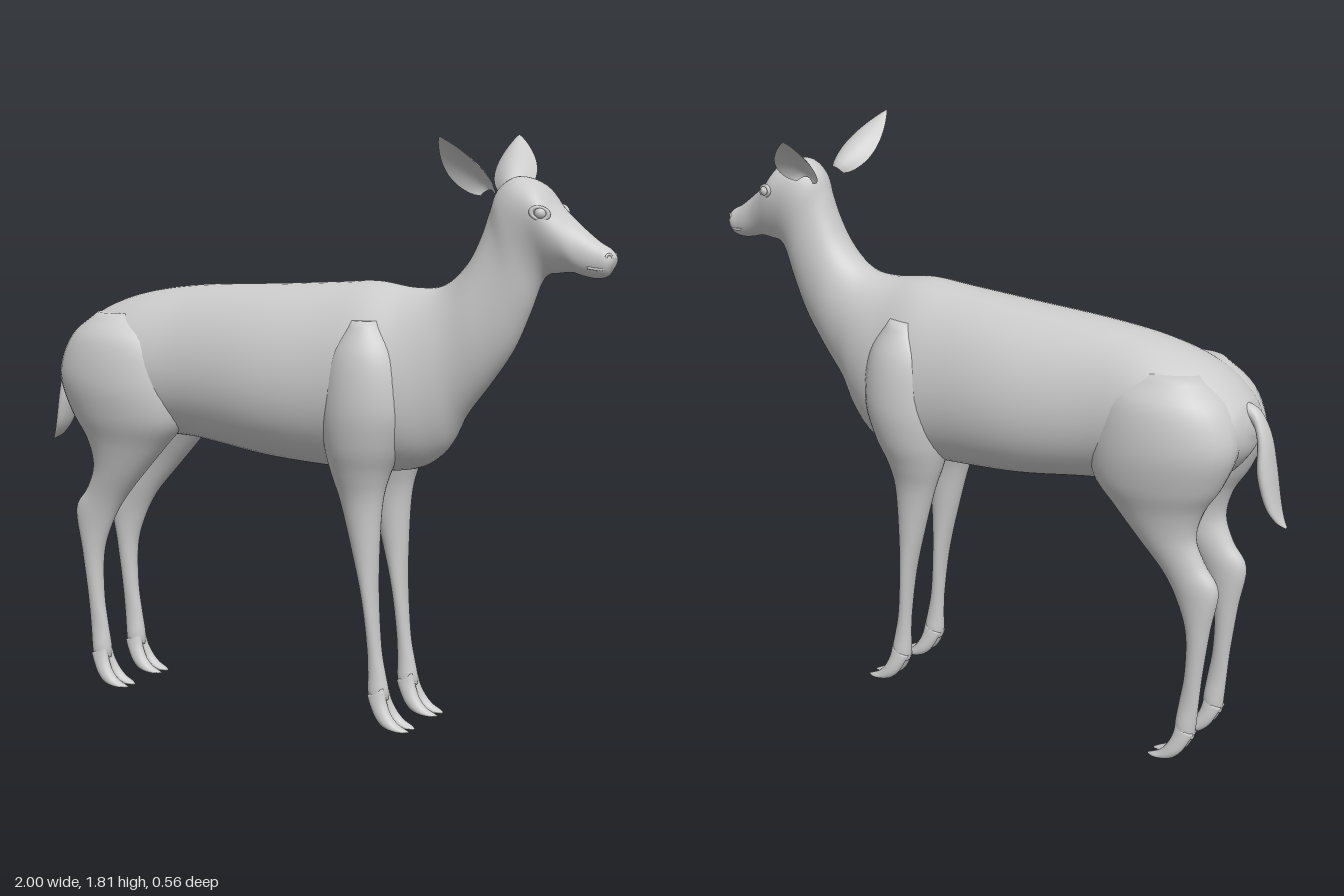
import * as THREE from 'three';

const grey = new THREE.MeshStandardMaterial({ color: 0xcccccc, roughness: 0.8 });
const greyThin = new THREE.MeshStandardMaterial({ color: 0xcccccc, roughness: 0.8, side: THREE.DoubleSide });

// Smooth closed loft. Station: [ax, ay, bx, by, centreZ, halfWidth, topHeavy]
// a and b are opposite edges of an oval section in the side plane.
function loft(stations, side = 1, steps = 5, around = 32) {
  const curve = (f) => new THREE.CatmullRomCurve3(stations.map((s) => new THREE.Vector3(...f(s))), false, 'catmullrom', 0.5);
  const edgeA = curve((s) => [s[0], s[1], s[5]]);
  const edgeB = curve((s) => [s[2], s[3], s[4]]);
  const heavy = curve((s) => [s[6] || 0, 0, 0]);
  const rings = (stations.length - 1) * steps;
  const pos = [], index = [], ends = [];
  for (let i = 0; i <= rings; i++) {
    const a = edgeA.getPoint(i / rings), b = edgeB.getPoint(i / rings), k = heavy.getPoint(i / rings).x;
    const mx = (a.x + b.x) / 2, my = (a.y + b.y) / 2;
    if (i === 0 || i === rings) ends.push([mx, my, b.z * side]);
    for (let j = 0; j < around; j++) {
      const t = (j / around) * Math.PI * 2, c = Math.cos(t);
      pos.push(mx + c * (a.x - mx), my + c * (a.y - my), b.z * side + Math.sin(t) * a.z * (1 + k * c));
    }
  }
  for (let i = 0; i < rings; i++) {
    for (let j = 0; j < around; j++) {
      const n = (j + 1) % around, p = i * around, q = p + around;
      index.push(p + j, p + n, q + j, p + n, q + n, q + j);
    }
  }
  // End caps
  const first = pos.length / 3, last = rings * around;
  pos.push(...ends[0], ...ends[1]);
  for (let j = 0; j < around; j++) {
    const n = (j + 1) % around;
    index.push(first, n, j, first + 1, last + j, last + n);
  }
  const g = new THREE.BufferGeometry();
  g.setAttribute('position', new THREE.Float32BufferAttribute(pos, 3));
  g.setIndex(index);
  g.computeVertexNormals();
  return g;
}

// Rump to withers, up the neck and out to the muzzle
const BODY = [
  [-0.878, 1.12, -0.886, 1.07, 0, 0.03],
  [-0.845, 1.175, -0.865, 0.99, 0, 0.115],
  [-0.75, 1.25, -0.77, 0.9, 0, 0.18],
  [-0.6, 1.303, -0.58, 0.85, 0, 0.2],
  [-0.4, 1.333, -0.4, 0.84, 0, 0.19, -0.08],
  [-0.12, 1.348, -0.14, 0.803, 0, 0.21, -0.08],
  [0.1, 1.362, 0.1, 0.787, 0, 0.2, -0.08],
  [0.23, 1.37, 0.25, 0.787, 0, 0.195, -0.1],
  [0.35, 1.355, 0.38, 0.805, 0, 0.165, -0.1],
  [0.44, 1.36, 0.465, 0.865, 0, 0.135],
  [0.5, 1.395, 0.525, 0.97, 0, 0.113],
  [0.55, 1.455, 0.61, 1.08, 0, 0.1],
  [0.583, 1.525, 0.68, 1.18, 0, 0.088],
  [0.605, 1.59, 0.73, 1.29, 0, 0.082],
  [0.632, 1.655, 0.763, 1.375, 0, 0.086, 0.15],
  [0.69, 1.692, 0.79, 1.408, 0, 0.089, 0.25],
  [0.765, 1.672, 0.825, 1.414, 0, 0.087, 0.3],
  [0.82, 1.612, 0.865, 1.418, 0, 0.071, 0.2],
  [0.88, 1.56, 0.9, 1.409, 0, 0.053],
  [0.94, 1.513, 0.94, 1.403, 0, 0.042],
  [0.98, 1.49, 0.972, 1.41, 0, 0.035],
  [0.999, 1.468, 0.99, 1.435, 0, 0.018],
];

// Haunch, hock and cannon
const HIND_LEG = [
  [-0.58, 1.24, -0.74, 1.24, 0.09, 0.06],
  [-0.46, 1.16, -0.835, 1.16, 0.09, 0.125],
  [-0.415, 1.02, -0.875, 1.04, 0.1, 0.135],
  [-0.42, 0.9, -0.835, 0.92, 0.105, 0.113],
  [-0.49, 0.81, -0.78, 0.83, 0.105, 0.083],
  [-0.57, 0.72, -0.757, 0.74, 0.105, 0.06],
  [-0.655, 0.62, -0.787, 0.66, 0.1, 0.046],
  [-0.705, 0.53, -0.834, 0.585, 0.1, 0.04],
  [-0.737, 0.43, -0.812, 0.45, 0.1, 0.035],
  [-0.737, 0.3, -0.793, 0.3, 0.1, 0.027],
  [-0.722, 0.2, -0.785, 0.2, 0.1, 0.024],
  [-0.712, 0.13, -0.778, 0.12, 0.1, 0.03],
  [-0.713, 0.09, -0.773, 0.08, 0.1, 0.028],
];

// Shoulder, knee and cannon
const FRONT_LEG = [
  [0.3, 1.26, 0.2, 1.26, 0.1, 0.06],
  [0.37, 1.15, 0.13, 1.15, 0.1, 0.112],
  [0.39, 1.0, 0.105, 1.0, 0.1, 0.127],
  [0.36, 0.88, 0.11, 0.88, 0.1, 0.11],
  [0.32, 0.79, 0.13, 0.79, 0.1, 0.08],
  [0.297, 0.7, 0.16, 0.7, 0.1, 0.055],
  [0.287, 0.55, 0.2, 0.55, 0.1, 0.043],
  [0.285, 0.4, 0.235, 0.4, 0.1, 0.036],
  [0.297, 0.25, 0.252, 0.25, 0.1, 0.025],
  [0.312, 0.17, 0.255, 0.17, 0.1, 0.025],
  [0.322, 0.12, 0.256, 0.11, 0.1, 0.03],
  [0.322, 0.09, 0.262, 0.08, 0.1, 0.028],
];

// One half of a cloven hoof, in the place of a front foot
const toeStations = (out) => [
  [0.316, 0.13, 0.258, 0.1, 0.1 + out * 0.012, 0.017],
  [0.326, 0.085, 0.27, 0.074, 0.1 + out * 0.017, 0.019],
  [0.343, 0.05, 0.292, 0.036, 0.1 + out * 0.022, 0.021],
  [0.365, 0.026, 0.322, 0.01, 0.1 + out * 0.024, 0.021],
  [0.39, 0.012, 0.365, 0.001, 0.1 + out * 0.024, 0.018],
  [0.405, 0.005, 0.4, 0.0, 0.1 + out * 0.02, 0.006],
];

const TAIL = [
  [-0.85, 1.12, -0.85, 1.16, 0, 0.022],
  [-0.885, 1.09, -0.895, 1.14, 0, 0.025],
  [-0.9, 1.04, -0.933, 1.07, 0, 0.036],
  [-0.905, 0.95, -0.953, 0.97, 0, 0.05],
  [-0.932, 0.86, -0.97, 0.87, 0, 0.043],
  [-0.965, 0.81, -0.985, 0.82, 0, 0.025],
  [-0.995, 0.79, -1.0, 0.793, 0, 0.006],
];

// Cupped leaf-shaped ear, opening outward and down
function earGeometry(side) {
  const g = new THREE.PlaneGeometry(2, 1, 14, 24);
  const base = new THREE.Vector3(0.632, 1.645, 0.085);
  const along = new THREE.Vector3(-0.065, 0.165, 0.195);
  const across = new THREE.Vector3(1, 0.1, 0.25).normalize();
  const cup = across.clone().cross(along).normalize();
  const p = g.attributes.position, v = new THREE.Vector3();
  for (let i = 0; i < p.count; i++) {
    const s = p.getX(i), t = p.getY(i) + 0.5;
    const w = 0.026 * (1 - t) + 0.05 * Math.pow(Math.sin(Math.PI * Math.pow(t, 0.85)), 0.8);
    v.copy(base).addScaledVector(along, t).addScaledVector(across, s * w);
    v.addScaledVector(cup, (s * s - 0.6) * w * 0.75 * (1 - 0.5 * t));
    p.setXYZ(i, v.x, v.y, v.z * side);
  }
  g.computeVertexNormals();
  return g;
}

export function createModel() {
  const model = new THREE.Group();
  model.name = 'doe';
  const add = (name, geometry, material = grey) => {
    const mesh = new THREE.Mesh(geometry, material);
    mesh.name = name;
    model.add(mesh);
    return mesh;
  };

  add('bodyNeckAndHead', loft(BODY, 1, 6, 48));
  add('tail', loft(TAIL));

  for (const side of [1, -1]) {
    add('frontLeg', loft(FRONT_LEG, side));
    add('hindLeg', loft(HIND_LEG, side));
    for (const out of [1, -1]) {
      add('frontHoof', loft(toeStations(out), side, 4, 16));
      add('hindHoof', loft(toeStations(out), side, 4, 16)).position.x = -1.035;
    }
    add('ear', earGeometry(side), greyThin);

    // Eye with a raised lid around it
    const eye = add('eye', new THREE.SphereGeometry(0.018, 20, 14));
    eye.position.set(0.793, 1.59, side * 0.078);
    const lid = add('eyelid', new THREE.TorusGeometry(0.02, 0.006, 10, 28));
    lid.position.set(0.793, 1.59, side * 0.083);
    lid.rotation.set(0, side * 0.4, -0.25);
    lid.scale.set(1.25, 0.85, 1);

    // Nostril rim
    const nostril = add('nostril', new THREE.TorusGeometry(0.009, 0.004, 8, 18));
    nostril.position.set(0.984, 1.466, side * 0.023);
    nostril.rotation.y = side * 0.75;

    // Lip line
    const lip = new THREE.CatmullRomCurve3([
      new THREE.Vector3(0.988, 1.44, side * 0.012),
      new THREE.Vector3(0.965, 1.432, side * 0.033),
      new THREE.Vector3(0.925, 1.436, side * 0.041),
    ]);
    add('lip', new THREE.TubeGeometry(lip, 12, 0.004, 8));
  }
  return model;
}
